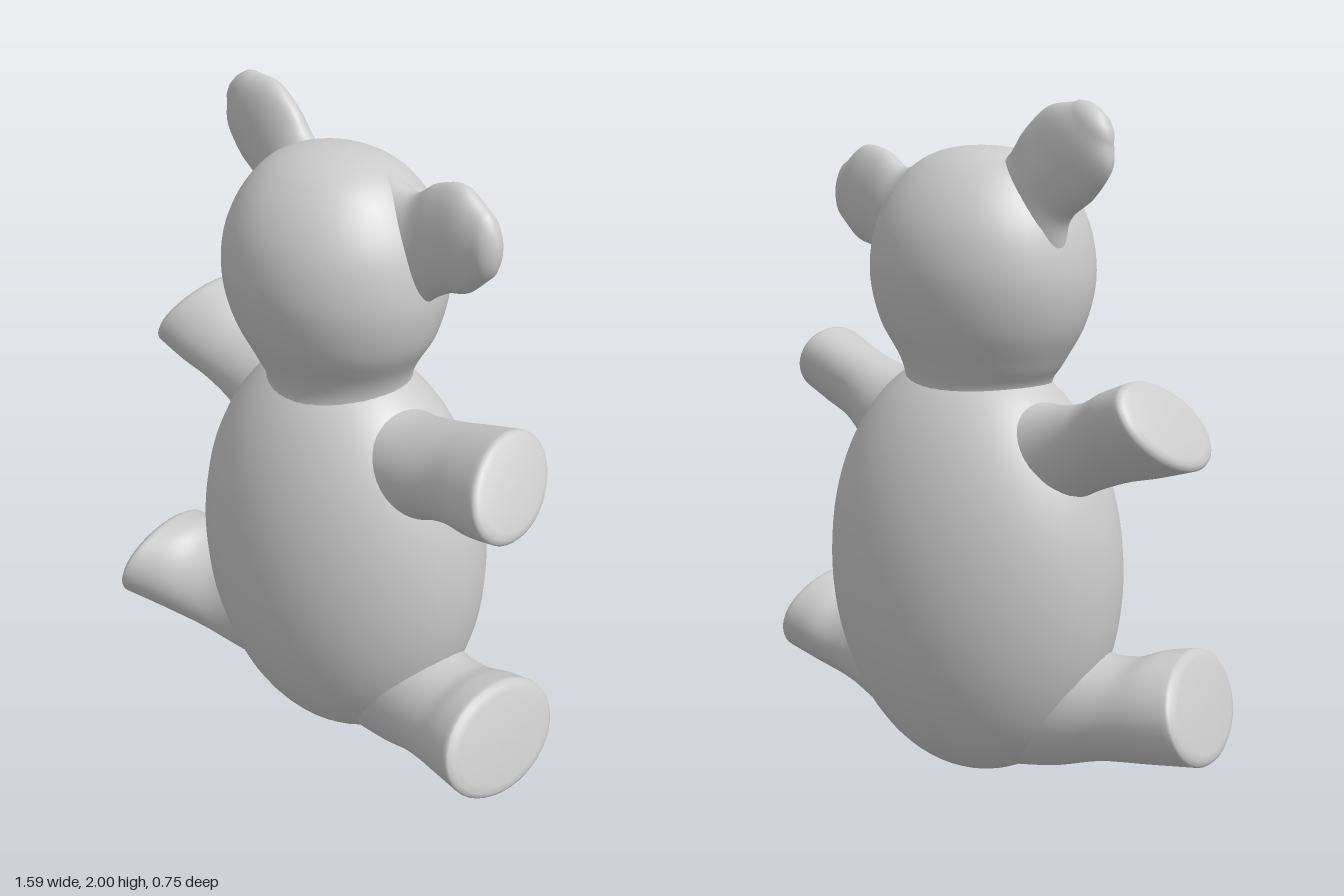
import * as THREE from 'three';

const V = (x, y, z) => new THREE.Vector3(x, y, z);
const material = new THREE.MeshStandardMaterial({ color: 0xcccccc });

// Smooth skin through elliptical sections { c, a, b }: centre and two half-axes.
// caps: [scale, offset] rings that close the far end with a soft rim.
function loft(name, sections, caps = [], sides = 40, steps = 6) {
  const curve = (key) => new THREE.CatmullRomCurve3(sections.map((s) => s[key]), false, 'catmullrom', 0.5);
  const [cc, ca, cb] = ['c', 'a', 'b'].map(curve);
  const count = (sections.length - 1) * steps;
  const rings = [];
  for (let i = 0; i <= count; i++) {
    const t = i / count;
    rings.push({ c: cc.getPoint(t), a: ca.getPoint(t), b: cb.getPoint(t) });
  }
  const end = rings[rings.length - 1];
  const out = end.a.clone().cross(end.b).normalize();
  for (const [scale, offset] of caps) {
    rings.push({
      c: end.c.clone().addScaledVector(out, offset),
      a: end.a.clone().multiplyScalar(scale),
      b: end.b.clone().multiplyScalar(scale),
    });
  }
  const pos = [], index = [];
  rings.forEach(({ c, a, b }, i) => {
    for (let j = 0; j < sides; j++) {
      const t = (j / sides) * Math.PI * 2;
      const p = c.clone().addScaledVector(a, Math.cos(t)).addScaledVector(b, Math.sin(t));
      pos.push(p.x, p.y, p.z);
      if (i === 0) continue;
      const k = (j + 1) % sides, r0 = (i - 1) * sides, r1 = i * sides;
      index.push(r0 + j, r0 + k, r1 + j, r0 + k, r1 + k, r1 + j);
    }
  });
  const geo = new THREE.BufferGeometry();
  geo.setAttribute('position', new THREE.Float32BufferAttribute(pos, 3));
  geo.setIndex(index);
  geo.computeVertexNormals();
  const mesh = new THREE.Mesh(geo, material);
  mesh.name = name;
  return mesh;
}

// Horizontal section for the body and head
const level = (y, rx, rz, cx, cz) => ({ c: V(cx, y, cz), a: V(rx, 0, 0), b: V(0, 0, -rz) });

// Limb or ear: rows of [topX, topY, bottomX, bottomY, z, halfDepth, tiltZ, tiltX]
function limb(name, side, rows, caps) {
  return loft(name, rows.map(([tx, ty, bx, by, z, depth, tiltZ = 0, tiltX = 0]) => ({
    c: V((side * (tx + bx)) / 2, (ty + by) / 2, z),
    a: V((side * (tx - bx)) / 2, (ty - by) / 2, tiltZ),
    b: V(tiltX, 0, side * depth),
  })), caps);
}

export function createModel() {
  const group = new THREE.Group();

  // Egg-shaped body
  const bodySections = [];
  for (let i = 0; i <= 14; i++) {
    const t = (i / 14) * Math.PI;
    const r = Math.pow(Math.max(0, Math.sin(t)), 0.95);
    bodySections.push(level(0.645 - 0.645 * Math.cos(t), 0.49 * r, 0.375 * r, 0, -0.01));
  }
  group.add(loft('body', bodySections));

  // Head with a short neck: y, half width, half depth
  const head = [
    [1.12, 0.25, 0.22], [1.2, 0.228, 0.2], [1.27, 0.257, 0.22], [1.37, 0.315, 0.268],
    [1.47, 0.342, 0.296], [1.56, 0.342, 0.304], [1.66, 0.32, 0.288], [1.75, 0.273, 0.245],
    [1.82, 0.212, 0.182], [1.86, 0.135, 0.115], [1.876, 0.055, 0.05], [1.878, 0, 0],
  ];
  group.add(loft('head', head.map(([y, rx, rz], i) => level(y, rx, rz, i < 2 ? -0.01 : -0.025, -0.003))));

  // Paws end in a nearly flat pad with a soft rim
  const pad = [[0.98, 0.008], [0.92, 0.016], [0.8, 0.021], [0.4, 0.024], [0, 0.025]];

  group.add(limb('leftArm', 1, [
    [0.15, 1.2, 0.3, 0.83, 0, 0.16],
    [0.3, 1.19, 0.44, 0.93, 0.02, 0.14, -0.01],
    [0.45, 1.222, 0.56, 0.985, 0.04, 0.125, -0.03],
    [0.56, 1.255, 0.68, 1.015, 0.06, 0.135, -0.045],
    [0.655, 1.285, 0.785, 1.05, 0.075, 0.145, -0.05],
  ], pad));
  group.add(limb('rightArm', -1, [
    [0.15, 1.2, 0.3, 0.83, -0.02, 0.16],
    [0.3, 1.175, 0.44, 0.93, -0.03, 0.13, -0.01],
    [0.45, 1.2, 0.56, 0.985, -0.035, 0.12, -0.03],
    [0.55, 1.25, 0.68, 1.02, -0.04, 0.135, -0.045],
    [0.635, 1.285, 0.785, 1.055, -0.045, 0.148, -0.05],
  ], pad));

  group.add(limb('leftLeg', 1, [
    [0.25, 0.52, 0.16, 0.04, 0, 0.18],
    [0.42, 0.45, 0.32, 0.07, 0.01, 0.17],
    [0.53, 0.435, 0.46, 0.118, 0.02, 0.175],
    [0.6, 0.455, 0.62, 0.145, 0.03, 0.2],
    [0.66, 0.47, 0.765, 0.165, 0.042, 0.218],
  ], pad));
  group.add(limb('rightLeg', -1, [
    [0.25, 0.52, 0.16, 0.04, 0, 0.18],
    [0.42, 0.45, 0.32, 0.07, 0.045, 0.165],
    [0.52, 0.44, 0.46, 0.115, 0.09, 0.165, 0, 0.01],
    [0.59, 0.465, 0.62, 0.145, 0.13, 0.185, 0, -0.02],
    [0.655, 0.475, 0.765, 0.175, 0.165, 0.205, 0, -0.04],
  ].map((r) => (r[7] ? [...r.slice(0, 7), Math.abs(r[7])] : r)).map((r) => {
    // outer pad turned slightly toward the front
    return r[7] ? [...r.slice(0, 7), -r[7]] : r;
  }), pad));

  // Flat rounded ears, the right one raised higher
  const earTip = [[0.9, 0.012], [0.65, 0.026], [0.3, 0.034], [0, 0.036]];
  group.add(limb('leftEar', 1, [
    [0.16, 1.84, 0.28, 1.48, -0.03, 0.08],
    [0.25, 1.81, 0.325, 1.53, -0.035, 0.07],
    [0.33, 1.855, 0.39, 1.57, -0.035, 0.063],
    [0.42, 1.873, 0.455, 1.59, -0.035, 0.058],
    [0.5, 1.825, 0.52, 1.645, -0.035, 0.045],
  ], earTip));
  group.add(limb('rightEar', -1, [
    [0.1, 1.81, 0.35, 1.58, -0.04, 0.08],
    [0.18, 1.86, 0.375, 1.68, -0.045, 0.068],
    [0.23, 1.925, 0.46, 1.745, -0.045, 0.062],
    [0.31, 1.985, 0.518, 1.82, -0.045, 0.055],
    [0.4, 1.997, 0.52, 1.89, -0.045, 0.042],
  ], earTip));

  return group;
}
